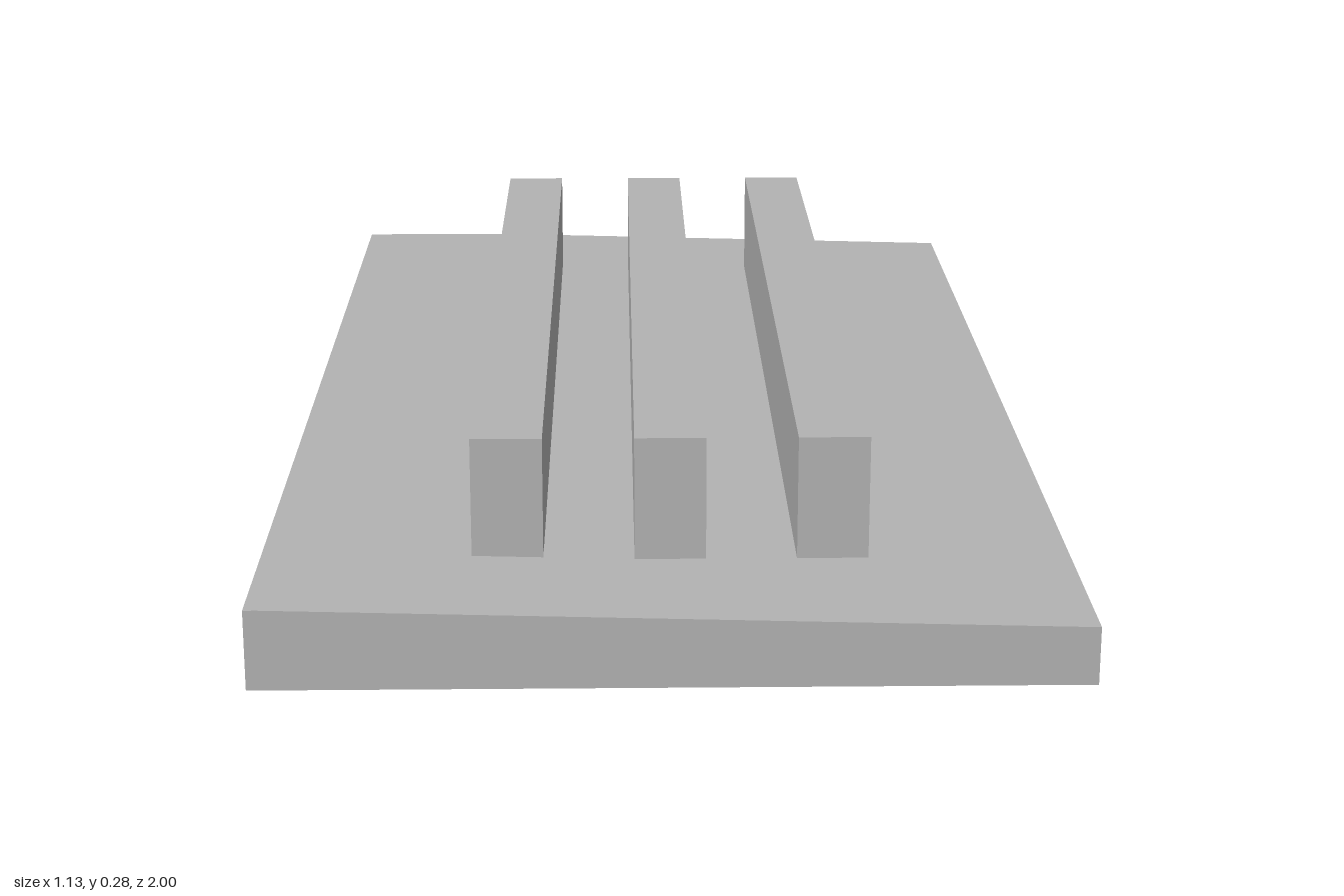
import * as THREE from 'three';

export function createModel() {
  const model = new THREE.Group();
  const grey = new THREE.MeshStandardMaterial({ color: 0xb3b3b3 });
  grey.name = 'grey';

  // Slab: flat along its right edge, then falling gently to the left
  const w = 0.563, top = 0.113;
  const front = { crease: -0.545, edge: 0.082 };
  const back = { crease: -0.3, edge: 0.09 };
  const profile = new THREE.Shape([
    new THREE.Vector2(-w, 0),
    new THREE.Vector2(w, 0),
    new THREE.Vector2(w, front.edge),
    new THREE.Vector2(front.crease, top),
    new THREE.Vector2(-w, top),
  ]);
  const slabGeometry = new THREE.ExtrudeGeometry(profile, { depth: 2, bevelEnabled: false });
  slabGeometry.translate(0, 0, -1);

  // Move the crease and the low edge at the back end so the slope is slightly skewed
  const p = slabGeometry.attributes.position;
  for (let i = 0; i < p.count; i++) {
    if (p.getZ(i) > 0) continue;
    if (Math.abs(p.getX(i) - front.crease) < 1e-4) p.setX(i, back.crease);
    if (Math.abs(p.getY(i) - front.edge) < 1e-4) p.setY(i, back.edge);
  }
  slabGeometry.computeVertexNormals();
  const slab = new THREE.Mesh(slabGeometry, grey);
  slab.name = 'slab';
  model.add(slab);

  // Three parallel bars along the slab
  const barBottom = 0.1, barTop = 0.276;
  const barGeometry = new THREE.BoxGeometry(0.099, barTop - barBottom, 1.575);
  ['rightBar', 'middleBar', 'leftBar'].forEach((name, i) => {
    const bar = new THREE.Mesh(barGeometry, grey);
    bar.name = name;
    bar.position.set((i - 1) * 0.225, (barTop + barBottom) / 2, 0);
    model.add(bar);
  });

  return model;
}
